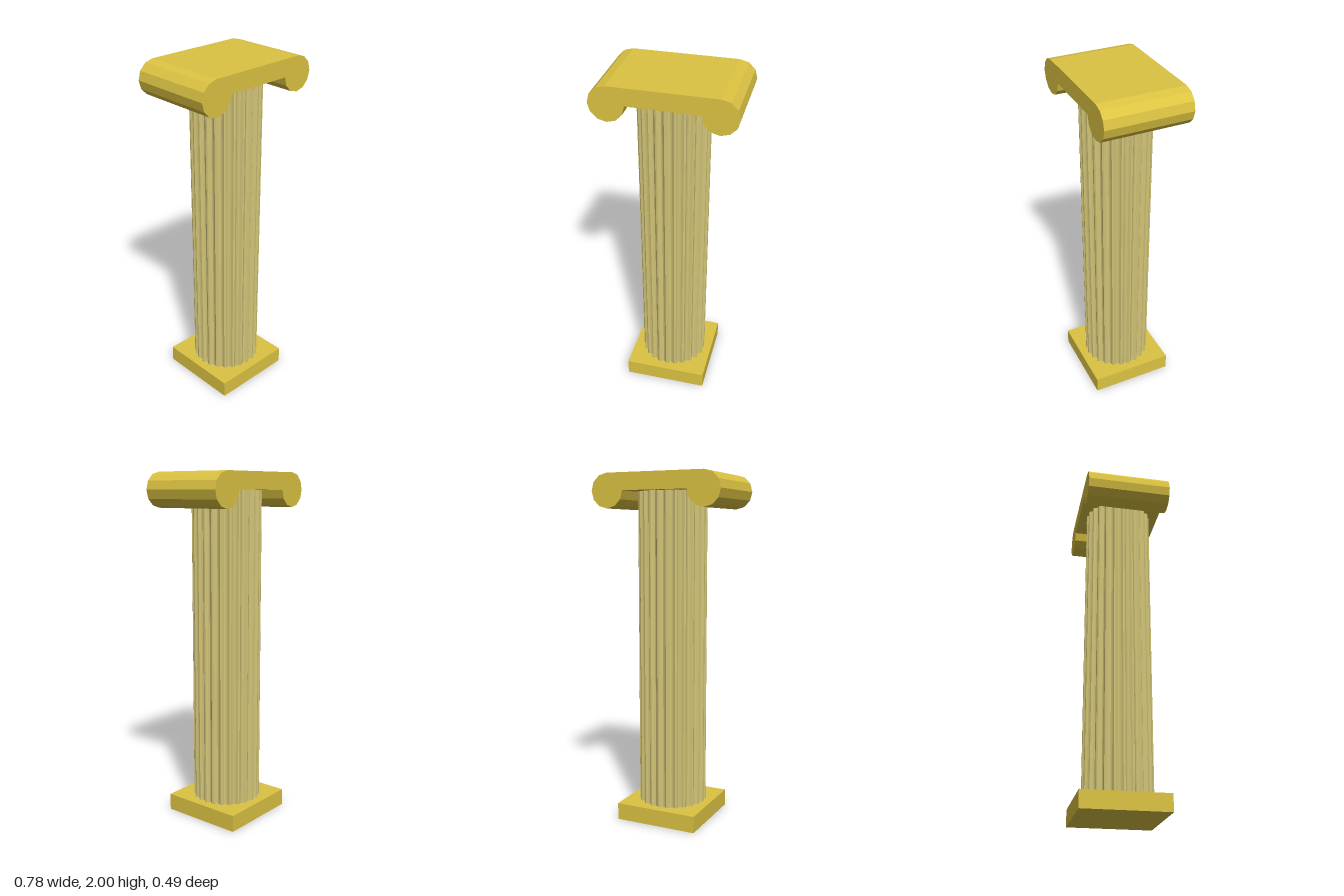
import * as THREE from 'three';

const WIDTH = 0.486; // plinth side and capital depth
const SLAB = 0.097; // plinth height, capital slab height and scroll radius
const SCROLL_X = 0.291;
const FLUTES = 24;

function mesh(name, geometry, color) {
  const m = new THREE.Mesh(geometry, new THREE.MeshStandardMaterial({ color, flatShading: true }));
  m.name = name;
  return m;
}

// Slab whose two ends roll down into twelve-sided scrolls
function capitalShape() {
  const right = [];
  for (let i = 0; i <= 9; i++) {
    const a = Math.PI + (i * Math.PI) / 6;
    right.push(new THREE.Vector2(SCROLL_X + SLAB * Math.cos(a), 2 - SLAB + SLAB * Math.sin(a)));
  }
  const left = right.map((p) => new THREE.Vector2(-p.x, p.y)).reverse();
  return new THREE.Shape([...right, ...left]);
}

// Round section cut by concave flutes with narrow flats between them
function shaftShape() {
  const outer = 0.197, depth = 0.016;
  const points = [];
  const step = (Math.PI * 2) / FLUTES;
  for (let i = 0; i < FLUTES; i++) {
    for (let j = 0; j <= 4; j++) {
      const t = j / 4;
      const a = (i + 0.1 + 0.8 * t) * step;
      const r = outer - depth * Math.sin(Math.PI * t);
      points.push(new THREE.Vector2(r * Math.cos(a), r * Math.sin(a)));
    }
  }
  return new THREE.Shape(points);
}

export function createModel() {
  const model = new THREE.Group();
  model.name = 'column';
  const gold = 0xdcc342, stone = 0xd2c477;

  const plinth = mesh('plinth', new THREE.BoxGeometry(WIDTH, SLAB, WIDTH), gold);
  plinth.position.y = SLAB / 2;

  // Shaft rises from inside the plinth to the underside of the slab
  const shaftGeometry = new THREE.ExtrudeGeometry(shaftShape(), { depth: 2 - SLAB * 1.5, bevelEnabled: false });
  shaftGeometry.rotateX(-Math.PI / 2);
  const shaft = mesh('flutedShaft', shaftGeometry, stone);
  shaft.position.y = SLAB / 2;

  const capital = mesh(
    'scrollCapital',
    new THREE.ExtrudeGeometry(capitalShape(), { depth: WIDTH, bevelEnabled: false }),
    gold
  );
  capital.position.z = -WIDTH / 2;

  model.add(plinth, shaft, capital);
  return model;
}
